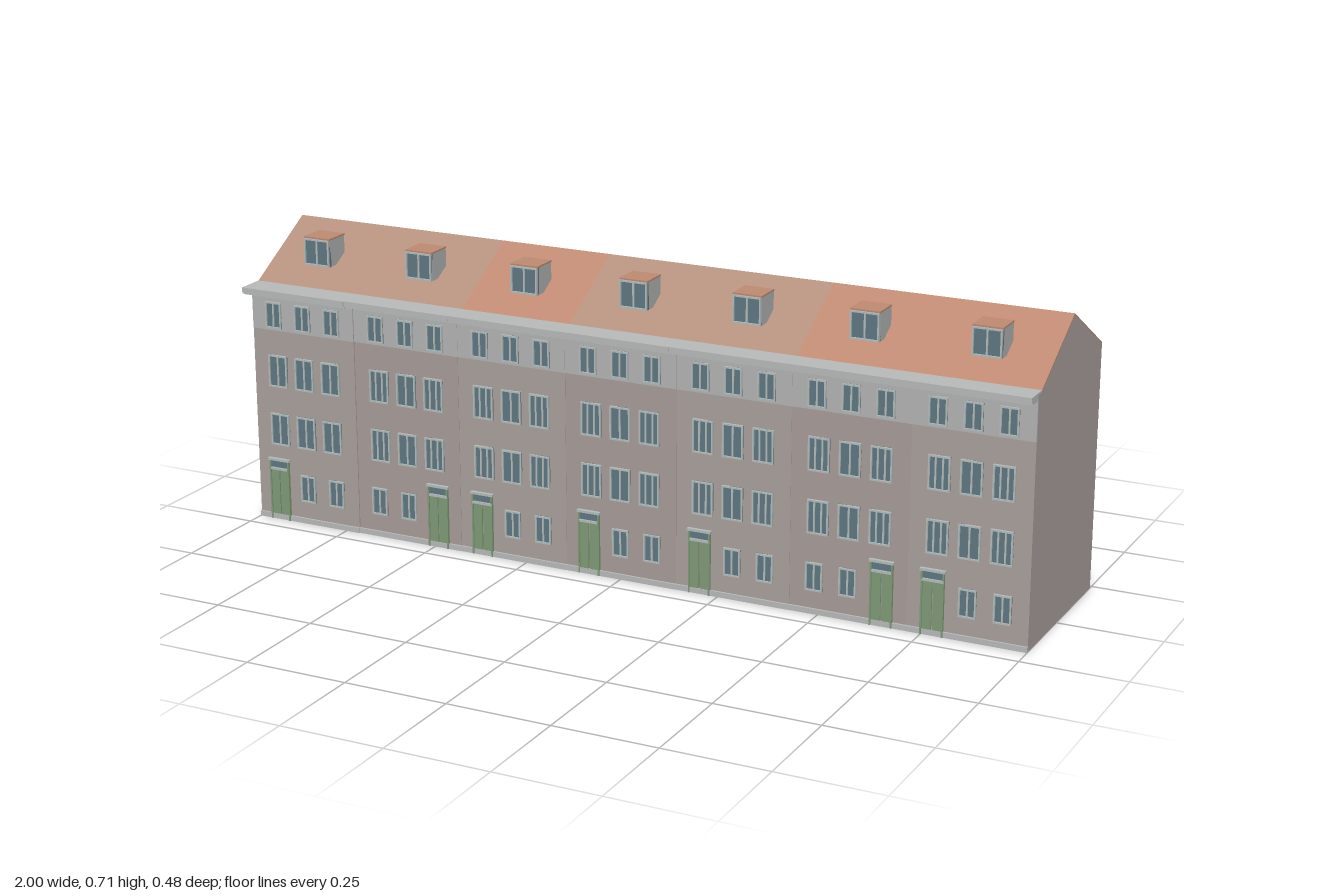
import * as THREE from 'three';
import { mergeGeometries } from 'three/addons/utils/BufferGeometryUtils.js';

const mat = (color, flat = true) => new THREE.MeshStandardMaterial({ color, flatShading: flat });
const M = {
  wallA: mat(0xaaa09d), wallB: mat(0xa89d99), upper: mat(0xb4b4b4), stone: mat(0xb9bbbb),
  frame: mat(0xb4bcbc), glass: mat(0x5f7882), door: mat(0x7f9a78),
  tileA: mat(0xb5917f), tileB: mat(0xbf8a72), dormer: mat(0xb0b2b2),
};

const N = 7, W = 2 / N;
const EAVE = 0.595, RIDGE = 0.715, RIDGE_Z = -0.032, BACK = -0.239, FRONT_EAVE = 0.172;
// facade plane, door column and middle tone of every house
const HOUSES = [
  { z: 0.199, door: 0, tile: 'tileA' }, { z: 0.196, door: 2, tile: 'tileA' },
  { z: 0.195, door: 0, tile: 'tileB' }, { z: 0.194, door: 0, tile: 'tileA' },
  { z: 0.193, door: 0, tile: 'tileA' }, { z: 0.192, door: 2, tile: 'tileB' },
  { z: 0.192, door: 0, tile: 'tileB' },
];

function add(parent, name, geometry, material) {
  const mesh = new THREE.Mesh(geometry, material);
  mesh.name = name;
  parent.add(mesh);
  return mesh;
}

// box geometry from its min and max corners
function span(x0, x1, y0, y1, z0, z1) {
  return new THREE.BoxGeometry(x1 - x0, y1 - y0, z1 - z0)
    .translate((x0 + x1) / 2, (y0 + y1) / 2, (z0 + z1) / 2);
}

// a [z, y] outline extruded along x
function alongX(points, x0, x1) {
  const shape = new THREE.Shape(points.map(([z, y]) => new THREE.Vector2(-z, y)));
  return new THREE.ExtrudeGeometry(shape, { depth: x1 - x0, bevelEnabled: false })
    .rotateY(Math.PI / 2).translate(x0, 0, 0);
}

// framed window standing on plane z = 0, facing +z
function makeWindow(name, w, h, panes, depth = 0.006, bar = 0.004) {
  const g = new THREE.Group();
  g.name = name;
  const x = w / 2;
  add(g, 'glass', span(-x, x, 0, h, -0.004, depth * 0.4), M.glass);
  const bars = [
    span(-x, x, 0, bar, 0, depth), span(-x, x, h - bar, h, 0, depth),
    span(-x, -x + bar, 0, h, 0, depth), span(x - bar, x, 0, h, 0, depth),
  ];
  for (let i = 1; i < panes; i++) {
    const m = -x + (w * i) / panes;
    bars.push(span(m - bar / 2, m + bar / 2, 0, h, 0, depth * 0.8));
  }
  add(g, 'windowFrame', mergeGeometries(bars), M.frame);
  return g;
}

// double door with transom, on plane z = 0
function makeDoor() {
  const g = new THREE.Group();
  g.name = 'door';
  for (const s of [-1, 1]) {
    add(g, 'doorLeaf', span(-0.011, 0.011, 0, 0.128, -0.004, 0.004).translate(s * 0.0125, 0, 0), M.door);
    add(g, 'doorPost', span(-0.002, 0.002, 0, 0.155, 0, 0.007).translate(s * 0.0255, 0, 0), M.door);
  }
  add(g, 'transomGlass', span(-0.025, 0.025, 0.134, 0.152, -0.004, 0.003), M.glass);
  add(g, 'transomBar', span(-0.027, 0.027, 0.128, 0.134, 0, 0.007), M.frame);
  add(g, 'lintel', span(-0.03, 0.03, 0.152, 0.158, 0, 0.009), M.frame);
  return g;
}

function makeHouse(i) {
  const { z, door, tile } = HOUSES[i];
  const g = new THREE.Group();
  g.name = 'house';
  const x0 = -1 + i * W, x1 = x0 + W, cx = (x0 + x1) / 2;

  // walls and gables
  add(g, 'walls', alongX([
    [z, 0], [z, EAVE - 0.004], [FRONT_EAVE, EAVE - 0.004],
    [RIDGE_Z, RIDGE - 0.004], [BACK, EAVE - 0.004], [BACK, 0],
  ], x0, x1), i % 2 ? M.wallB : M.wallA);
  add(g, 'upperWall', span(x0, x1, 0.485, 0.58, z - 0.004, z + 0.001), M.upper);
  add(g, 'plinth', span(x0, x1, 0, 0.013, z - 0.004, z + 0.005), M.stone);

  // tiled slopes
  for (const [name, eaveZ] of [['frontRoof', FRONT_EAVE], ['backRoof', BACK]]) {
    add(g, name, alongX([
      [eaveZ, EAVE - 0.004], [eaveZ, EAVE], [RIDGE_Z, RIDGE], [RIDGE_Z, RIDGE - 0.004],
    ], x0, x1), M[tile]);
  }

  // cornice with gutter lip
  add(g, 'cornice', alongX([
    [FRONT_EAVE - 0.004, 0.584], [FRONT_EAVE - 0.004, 0.596], [z + 0.042, 0.596], [z + 0.042, 0.583],
    [z + 0.036, 0.583], [z + 0.036, 0.578], [z - 0.003, 0.578],
  ], x0, x1), M.stone);

  // front windows and door
  const place = (part, x, y) => { part.position.set(x, y, z); g.add(part); };
  for (let c = 0; c < 3; c++) {
    const narrowX = cx + (c - 1) * 0.082, wideX = cx + (c - 1) * 0.075;
    const panes = c === 1 || i === 0 ? 2 : 3;
    place(makeWindow('topWindow', 0.044, 0.066, 2), narrowX, 0.491);
    for (const y of [0.342, 0.193]) place(makeWindow('mainWindow', 0.052, 0.081, panes), wideX, y);
    if (c === door) place(makeDoor(), narrowX, 0);
    else place(makeWindow('groundWindow', 0.042, 0.068, 2), narrowX, 0.056);
  }

  // dormer
  const d = new THREE.Group();
  d.name = 'dormer';
  add(d, 'dormerBox', span(-0.035, 0.035, 0.639, 0.705, 0.058, 0.122), M.dormer);
  add(d, 'dormerRoof', span(-0.036, 0.036, 0.705, 0.709, 0.058, 0.126), M.tileB);
  const dw = makeWindow('dormerWindow', 0.07, 0.066, 2, 0.008);
  dw.position.set(0, 0.639, 0.122);
  d.add(dw);
  d.position.x = cx;
  g.add(d);
  return g;
}

export function createModel() {
  const model = new THREE.Group();
  model.name = 'rowOfHouses';
  for (let i = 0; i < N; i++) model.add(makeHouse(i));

  // regular grid of rear windows
  const rear = new THREE.Group();
  rear.name = 'rearWindows';
  for (const [y, h] of [[0.04, 0.088], [0.21, 0.085], [0.36, 0.084], [0.505, 0.066]]) {
    for (let c = 0; c < 3 * N; c++) {
      const w = makeWindow('rearWindow', 0.056, h, 1, 0.003, 0.003);
      w.rotation.y = Math.PI;
      w.position.set((c - 10) * 0.0955, y, BACK);
      rear.add(w);
    }
  }
  model.add(rear);
  return model;
}
